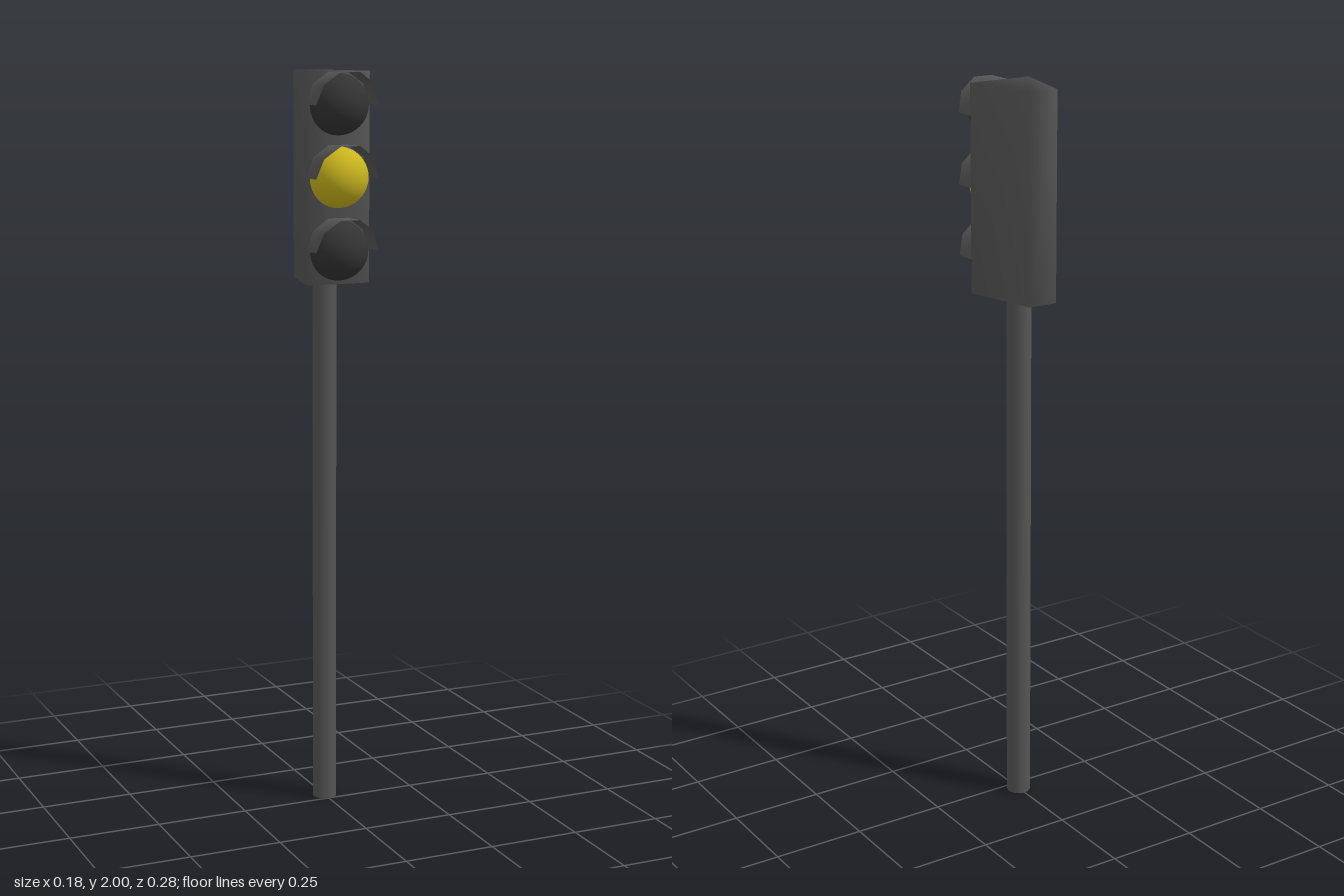
import * as THREE from 'three';
import { mergeVertices } from 'three/addons/utils/BufferGeometryUtils.js';

const mat = (color, side = THREE.FrontSide) => new THREE.MeshStandardMaterial({ color, side });

function part(name, geometry, material, x = 0, y = 0, z = 0) {
  const mesh = new THREE.Mesh(geometry, material);
  mesh.name = name;
  mesh.position.set(x, y, z);
  return mesh;
}

// Box narrowing towards the back, with shared corners for soft shading
function housingGeometry(frontWidth, backWidth, height, depth) {
  let geo = new THREE.BoxGeometry(frontWidth, height, depth);
  geo.deleteAttribute('normal');
  geo.deleteAttribute('uv');
  geo = mergeVertices(geo);
  const p = geo.attributes.position;
  for (let i = 0; i < p.count; i++) {
    if (p.getZ(i) < 0) p.setX(i, p.getX(i) * backWidth / frontWidth);
  }
  geo.computeVertexNormals();
  return geo;
}

// Half-round hood of five facets whose front edge reaches furthest at the top
function visorGeometry(radius, sideDepth, topDepth, segments = 5) {
  const pos = [], index = [];
  for (let i = 0; i <= segments; i++) {
    const a = Math.PI * i / segments;
    const x = Math.cos(a) * radius, y = Math.sin(a) * radius;
    pos.push(x, y, 0, x, y, sideDepth + (topDepth - sideDepth) * Math.sin(a));
    if (i < segments) {
      const k = i * 2;
      index.push(k, k + 1, k + 2, k + 1, k + 3, k + 2);
    }
  }
  const geo = new THREE.BufferGeometry();
  geo.setAttribute('position', new THREE.Float32BufferAttribute(pos, 3));
  geo.setIndex(index);
  geo.computeVertexNormals();
  return geo;
}

export function createModel() {
  const group = new THREE.Group();
  const bodyMat = mat(0x555555);
  const visorMat = mat(0x555555, THREE.DoubleSide);
  const darkMat = mat(0x333333);
  const amberMat = mat(0xc8b41e);
  const faceZ = 0.06;

  // Pole
  const poleGeo = new THREE.CylinderGeometry(0.033, 0.033, 1.46, 10);
  poleGeo.rotateY(Math.PI / 2);
  group.add(part('pole', poleGeo, bodyMat, 0, 0.73, -0.03));

  // Signal housing
  group.add(part('housing', housingGeometry(0.18, 0.082, 0.553, 0.203), bodyMat, 0, 1.7235, faceZ - 0.1015));

  // Lamps with their visors
  const lampGeo = new THREE.SphereGeometry(0.08, 32, 20);
  const visorGeo = visorGeometry(0.088, 0.061, 0.082);
  const lamps = [['top', 1.915, darkMat], ['middle', 1.727, amberMat], ['bottom', 1.537, darkMat]];
  for (const [name, y, material] of lamps) {
    group.add(part(name + 'Lamp', lampGeo, material, 0, y, faceZ));
    group.add(part(name + 'Visor', visorGeo, visorMat, 0, y, faceZ));
  }
  return group;
}
